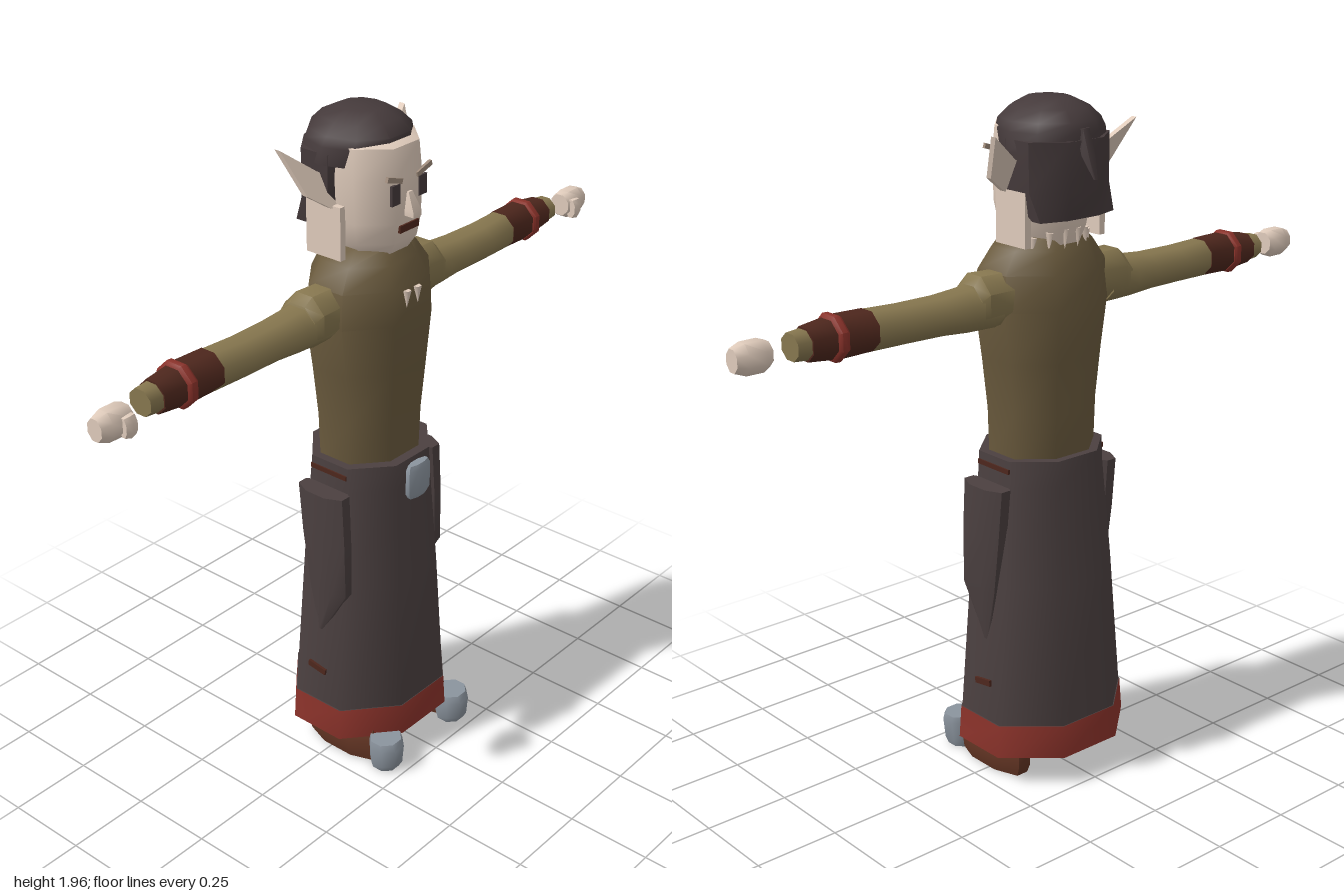
import * as THREE from 'three';
import { toCreasedNormals } from 'three/addons/utils/BufferGeometryUtils.js';

const mat = (name, color) => {
  const m = new THREE.MeshStandardMaterial({ color });
  m.name = name;
  return m;
};

// Closed loft up the y axis; ring = [y, half width, front z, back z, centre x]
function loft(rings, sides = 8) {
  const n = rings.length - 1, k = 1 / Math.cos(Math.PI / sides);
  const g = new THREE.CylinderGeometry(1, 1, 1, sides, n, false, Math.PI / sides);
  const p = g.attributes.position;
  for (let i = 0; i < p.count; i++) {
    const [y, w, f, b, cx = 0] = rings[Math.round((p.getY(i) + 0.5) * n)];
    p.setXYZ(i, cx + p.getX(i) * w * k, y, (f + b) / 2 + p.getZ(i) * k * (f - b) / 2);
  }
  return toCreasedNormals(g, 0.9);
}

export function createModel() {
  const model = new THREE.Group();
  model.name = 'robedFigure';
  const skin = mat('skin', 0xdfcbbb), dark = mat('dark cloth', 0x4b4040), hairMat = mat('hair', 0x453a3b);
  const tunic = mat('tunic', 0x6a5a3d), sleeve = mat('sleeve', 0x87774f), red = mat('red trim', 0x8a322a);
  const leather = mat('dark leather', 0x4e271d), shoeMat = mat('shoe leather', 0x623423);
  const metal = mat('metal', 0x8b949e), browMat = mat('brow', 0xa08c7c);

  const add = (name, geo, m, x = 0, y = 0, z = 0, parent = model) => {
    const mesh = new THREE.Mesh(geo, m);
    mesh.name = name;
    mesh.position.set(x, y, z);
    parent.add(mesh);
    return mesh;
  };
  const box = (name, w, h, d, m, x, y, z) => add(name, new THREE.BoxGeometry(w, h, d), m, x, y, z);

  // Robe
  add('skirt', loft([[0.185, 0.235, 0.193, -0.219], [0.6, 0.205, 0.17, -0.192],
    [0.9, 0.178, 0.15, -0.169], [0.975, 0.175, 0.145, -0.165]]), dark);
  add('hem', loft([[0.09, 0.245, 0.2, -0.228], [0.188, 0.238, 0.195, -0.221]]), [red, dark, dark]);
  add('torso', loft([[0.96, 0.15, 0.115, -0.142], [1.1, 0.153, 0.12, -0.148], [1.25, 0.168, 0.132, -0.16],
    [1.4, 0.188, 0.142, -0.17], [1.5, 0.18, 0.132, -0.158], [1.56, 0.14, 0.105, -0.135],
    [1.6, 0.1, 0.08, -0.11]]), tunic);
  add('buckle', loft([[0.86, 0.036, 0.176, 0.152], [0.875, 0.045, 0.182, 0.148],
    [0.95, 0.045, 0.182, 0.148], [0.965, 0.038, 0.176, 0.152]]), metal);

  // Head
  add('head', loft([[1.55, 0.07, 0.05, -0.12], [1.585, 0.09, 0.09, -0.13], [1.62, 0.112, 0.112, -0.14],
    [1.68, 0.124, 0.122, -0.15], [1.8, 0.13, 0.122, -0.15], [1.885, 0.124, 0.114, -0.15],
    [1.9, 0.1, 0.07, -0.14]]), skin);
  add('hairTop', loft([[1.83, 0.145, 0.075, -0.188], [1.88, 0.142, 0.09, -0.186], [1.905, 0.13, 0.092, -0.178],
    [1.935, 0.1, 0.062, -0.148], [1.958, 0.055, 0.02, -0.1]], 10), hairMat);
  add('hairBack', loft([[1.65, 0.132, -0.1, -0.18], [1.725, 0.143, 0.03, -0.19],
    [1.86, 0.145, 0.035, -0.19]]), hairMat);
  add('hairTail', loft([[1.76, 0.006, -0.222, -0.23], [1.82, 0.02, -0.18, -0.212],
    [1.89, 0.02, -0.16, -0.188]], 6), hairMat);
  add('nose', loft([[1.695, 0.016, 0.152, 0.11], [1.71, 0.017, 0.152, 0.11], [1.76, 0.008, 0.128, 0.11]], 4), skin);
  box('mouth', 0.076, 0.02, 0.008, leather, 0, 1.662, 0.122);

  // Tooth necklace, low at the chest and high at the nape
  const tooth = new THREE.ConeGeometry(0.012, 0.055, 5).rotateX(Math.PI);
  for (let i = 0; i < 18; i++) {
    const a = (i + 0.5) / 18 * Math.PI * 2, c = Math.cos(a);
    const x = Math.sin(a) * 0.13;
    const t = add('necklaceTooth', tooth, skin, x, 1.525 - c * 0.065, c * 0.137 + 0.002);
    t.rotation.z = x * 1.5;
  }

  for (const s of [1, -1]) {
    const side = s > 0 ? 'left' : 'right';
    // Face details
    box(side + 'Eye', 0.032, 0.055, 0.008, hairMat, s * 0.055, 1.763, 0.1215);
    box(side + 'Brow', 0.062, 0.014, 0.009, browMat, s * 0.06, 1.805, 0.122).rotation.z = s * 0.3;
    box(side + 'SideLock', 0.02, 0.15, 0.12, skin, s * 0.134, 1.65, -0.05);

    // Swept-back pointed ear
    const shape = new THREE.Shape([[0.125, 1.715], [0.15, 1.72], [0.215, 1.765], [0.25, 1.885], [0.15, 1.81], [0.125, 1.8]]
      .map(([x, y]) => new THREE.Vector2(s * x, y)));
    const ear = new THREE.ExtrudeGeometry(shape, { depth: 0.018, bevelEnabled: false });
    const p = ear.attributes.position;
    for (let i = 0; i < p.count; i++) p.setZ(i, p.getZ(i) - 0.03 - (p.getY(i) - 1.715) * 0.52);
    ear.computeVertexNormals();
    add(side + 'Ear', ear, skin);

    // Arm, lofted outward; each ring's last number raises its centre
    const arm = new THREE.Group();
    arm.name = side + 'Arm';
    arm.position.y = 1.42;
    arm.rotation.z = -s * Math.PI / 2;
    model.add(arm);
    const limb = (name, rings, m) => add(name, loft(rings.map(([t, w, f, b, up = 0]) => [t, w, f, b, -s * up])), m, 0, 0, 0, arm);
    limb('shoulder', [[0.14, 0.07, 0.04, -0.09, 0.015], [0.25, 0.073, 0.045, -0.095, 0.015],
      [0.275, 0.06, 0.035, -0.09, 0.005]], sleeve);
    limb('sleeve', [[0.2, 0.062, 0.04, -0.092, 0.003], [0.3, 0.056, 0.036, -0.092], [0.38, 0.05, 0.034, -0.09],
      [0.5, 0.049, 0.034, -0.086], [0.62, 0.052, 0.026, -0.08, 0.003], [0.84, 0.035, 0.01, -0.065, 0.002]], sleeve);
    limb('cuff', [[0.605, 0.052, 0.028, -0.083, 0.004], [0.7, 0.054, 0.028, -0.083, 0.004],
      [0.8, 0.043, 0.017, -0.072, 0.002]], leather);
    limb('cuffBand', [[0.7, 0.055, 0.031, -0.086, 0.004], [0.707, 0.06, 0.035, -0.09, 0.004],
      [0.723, 0.06, 0.035, -0.09, 0.004], [0.73, 0.053, 0.029, -0.084, 0.004]], red);
    limb('hand', [[0.9, 0.032, 0.016, -0.046, -0.003], [0.92, 0.041, 0.022, -0.052, -0.005],
      [0.97, 0.041, 0.02, -0.05, -0.005], [1, 0.03, 0.01, -0.04, -0.005]], skin);
    limb('thumb', [[0.908, 0.028, 0.036, 0.005, -0.01], [0.926, 0.03, 0.041, 0.01, -0.01],
      [0.943, 0.026, 0.034, 0.01, -0.01]], skin);

    // Hanging hip pouch and side straps
    add(side + 'HipPouch', loft([[0.43, 0.012, -0.005, -0.03, s * 0.205], [0.58, 0.03, 0.08, -0.055, s * 0.203],
      [0.75, 0.036, 0.078, -0.078, s * 0.202], [0.898, 0.038, 0.07, -0.092, s * 0.2]]), dark);
    box(side + 'BeltSlit', 0.012, 0.014, 0.13, leather, s * 0.174, 0.945, -0.012);
    box(side + 'SkirtStrap', 0.01, 0.018, 0.065, leather, s * 0.229, 0.3, -0.02).rotation.x = 0.15;

    // Shoe with metal toecap
    add(side + 'Shoe', loft([[0.003, 0.045, 0.15, -0.1, s * 0.152], [0.03, 0.052, 0.155, -0.11, s * 0.152],
      [0.08, 0.05, 0.15, -0.11, s * 0.152], [0.115, 0.035, 0.14, -0.09, s * 0.152]]), shoeMat);
    add(side + 'Toecap', loft([[0, 0.037, 0.218, 0.14, s * 0.155], [0.02, 0.043, 0.23, 0.134, s * 0.155],
      [0.08, 0.049, 0.234, 0.134, s * 0.155], [0.1, 0.046, 0.224, 0.138, s * 0.155]]), metal);
  }
  return model;
}
